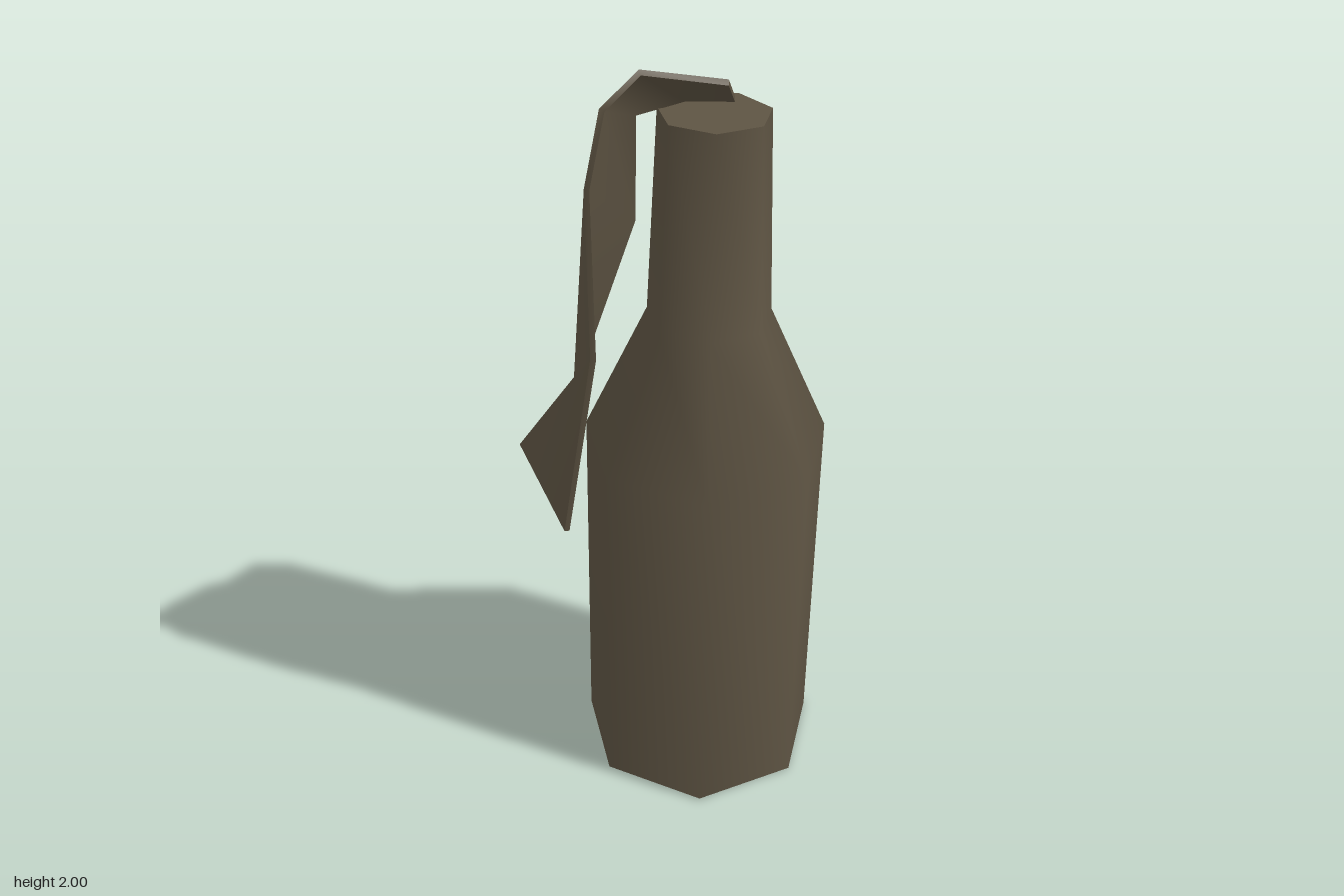
import * as THREE from 'three';

const V = (x, y, z) => new THREE.Vector3(x, y, z);

// Surface between two edge lines; the facing side is (b - a) x (direction of travel)
function strip(a, b, flip = false) {
  const pos = [], idx = [];
  a.forEach((p, i) => pos.push(...p.toArray(), ...b[i].toArray()));
  for (let i = 0; i < a.length - 1; i++) {
    const k = i * 2;
    if (flip) idx.push(k, k + 1, k + 2, k + 1, k + 3, k + 2);
    else idx.push(k, k + 1, k + 3, k, k + 3, k + 2);
  }
  const g = new THREE.BufferGeometry();
  g.setAttribute('position', new THREE.Float32BufferAttribute(pos, 3));
  g.setIndex(idx);
  g.computeVertexNormals();
  return g;
}

export function createModel() {
  const model = new THREE.Group();
  const glass = new THREE.MeshStandardMaterial({ color: 0x5e5443 });
  glass.name = 'dull brown';

  const add = (parent, name, geometry) => {
    const mesh = new THREE.Mesh(geometry, glass);
    mesh.name = name;
    parent.add(mesh);
  };

  // Seven-sided bottle, leaning slightly
  const bottle = new THREE.Group();
  bottle.name = 'bottle';
  bottle.position.set(0.051, 0.006, 0);
  bottle.rotation.z = -0.016;
  model.add(bottle);
  const turned = (points) =>
    new THREE.LatheGeometry(points.map(([r, y]) => new THREE.Vector2(r, y)), 7).rotateY(Math.PI / 2);
  add(bottle, 'bottleWall', turned([[0.32, 0], [0.319, 0.967], [0.158, 1.325], [0.137, 1.845]]));
  add(bottle, 'bottleBase', turned([[0, 0], [0.32, 0]]));
  add(bottle, 'bottleTop', turned([[0.137, 1.845], [0, 1.845]]));

  // Rag: front and back edges, from the bottle mouth to the hanging end
  const front = [
    V(0.09, 1.955, 0.08), V(-0.115, 2.0, 0.097), V(-0.21, 1.93, 0.125),
    V(-0.25, 1.75, 0.13), V(-0.25, 1.32, 0.135), V(-0.32, 0.78, 0.06),
  ];
  const back = [
    V(0.137, 1.87, -0.04), V(0.02, 1.872, -0.06), V(-0.04, 1.868, -0.053),
    V(-0.105, 1.845, -0.053), V(-0.105, 1.57, -0.08), V(-0.25, 1.12, -0.13),
    V(-0.385, 0.85, -0.265),
  ];
  back.splice(2, 1);

  // Inner layer, offset along the cloth normal
  const mid = front.map((p, i) => p.clone().lerp(back[i], 0.5));
  const offset = front.map((p, i) => {
    const travel = mid[Math.min(i + 1, mid.length - 1)].clone().sub(mid[Math.max(i - 1, 0)]);
    return back[i].clone().sub(p).cross(travel).setLength(-0.014);
  });
  const frontIn = front.map((p, i) => p.clone().add(offset[i]));
  const backIn = back.map((p, i) => p.clone().add(offset[i]));

  const rag = new THREE.Group();
  rag.name = 'rag';
  model.add(rag);
  const n = front.length - 1;
  add(rag, 'ragOuter', strip(front, back));
  add(rag, 'ragInner', strip(backIn, frontIn, true));
  add(rag, 'ragFrontEdge', strip(frontIn, front));
  add(rag, 'ragBackEdge', strip(back, backIn));
  add(rag, 'ragMouthEnd', strip([front[0], back[0]], [frontIn[0], backIn[0]]));
  add(rag, 'ragHangingEnd', strip([back[n], front[n]], [backIn[n], frontIn[n]]));

  return model;
}
